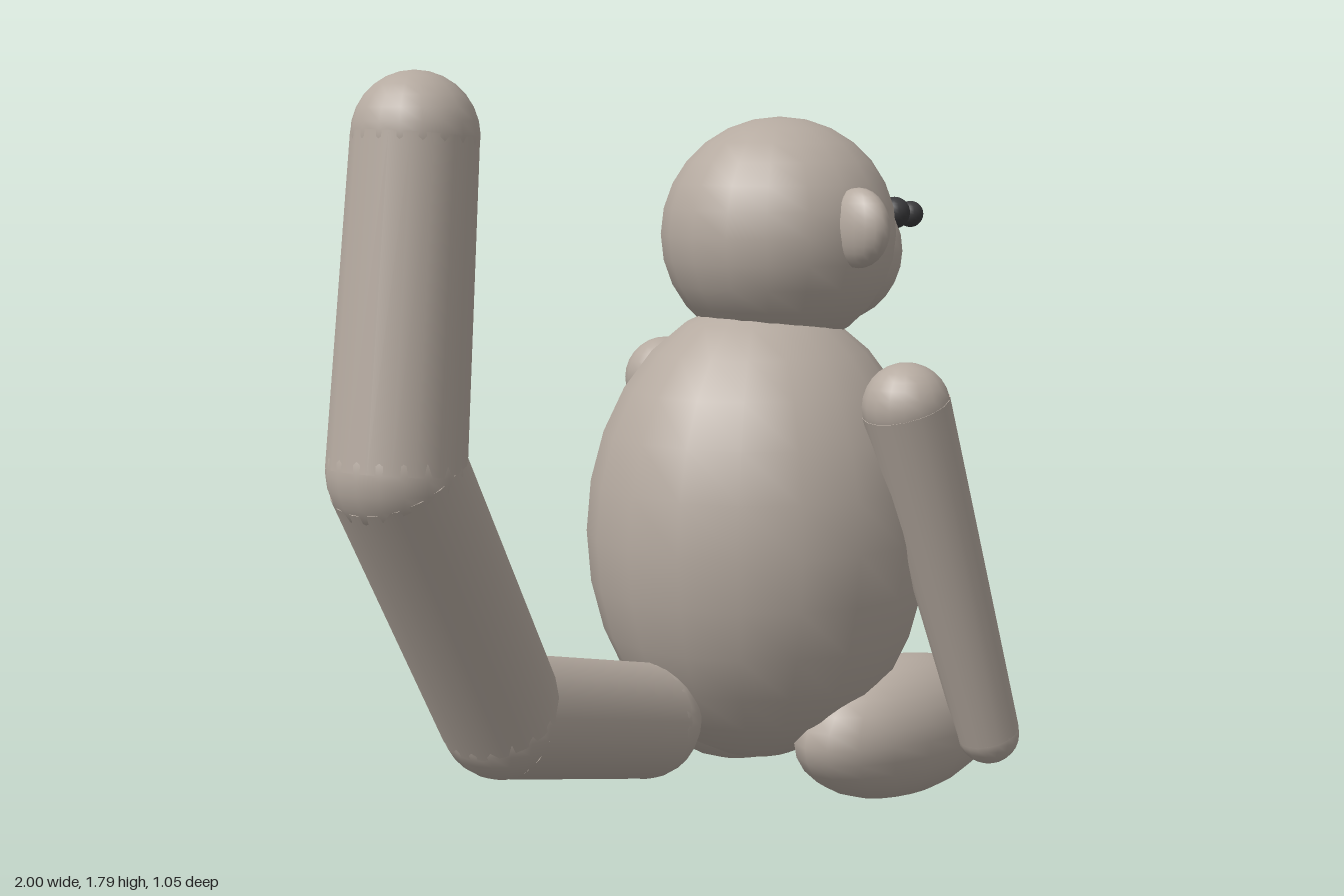
import * as THREE from 'three';

const V = (x, y, z) => new THREE.Vector3(x, y, z);

export function createModel() {
  const model = new THREE.Group();
  model.name = 'monkey';
  const fur = new THREE.MeshStandardMaterial({ name: 'warm grey fur', color: 0xb5aaa0 });
  const dark = new THREE.MeshStandardMaterial({ name: 'dark eye', color: 0x3a3a3c });

  const add = (name, geometry, material) => {
    const mesh = new THREE.Mesh(geometry, material);
    mesh.name = name;
    model.add(mesh);
    return mesh;
  };

  // Ellipsoid with given centre and radii
  const ball = (name, centre, rx, ry = rx, rz = rx, material = fur) => {
    const mesh = add(name, new THREE.SphereGeometry(1, 18, 14), material);
    mesh.position.copy(centre);
    mesh.scale.set(rx, ry, rz);
    return mesh;
  };

  // Tapered tube from a to b
  const limb = (name, a, b, ra, rb) => {
    const dir = b.clone().sub(a);
    const mesh = add(name, new THREE.CylinderGeometry(rb, ra, dir.length(), 18), fur);
    mesh.position.copy(a).add(b).multiplyScalar(0.5);
    mesh.quaternion.setFromUnitVectors(V(0, 1, 0), dir.normalize());
    return mesh;
  };

  // Torso, head and muzzle (the figure faces +x)
  ball('body', V(0.415, 0.68, 0), 0.435, 0.572, 0.42);
  ball('head', V(0.475, 1.41, 0), 0.292, 0.285, 0.288);
  ball('muzzle', V(0.665, 1.36, 0), 0.178);

  // Paired parts
  for (const s of [1, -1]) {
    const side = s > 0 ? 'Near' : 'Far';
    ball('ear' + side, V(0.455, 1.435, s * 0.285), 0.052, 0.095, 0.09);
    ball('eye' + side, V(0.79, 1.455, s * 0.095), 0.04, 0.04, 0.04, dark);
    ball('pupil' + side, V(0.853, 1.45, s * 0.093), 0.033, 0.033, 0.033, dark);

    const shoulder = V(0.482, 1.02, s * 0.42);
    const hand = V(0.775, 0.185, s * 0.448);
    ball('shoulder' + side, shoulder, 0.105);
    limb('arm' + side, shoulder, hand, 0.106, 0.077);
    ball('hand' + side, hand, 0.077);

    ball('leg' + side, V(0.667, 0.183, s * 0.245), 0.333, 0.177, 0.165);
  }

  // Tail: jointed chain curling up behind
  const joints = [V(0.025, 0.26, 0.005), V(-0.51, 0.39, 0.135), V(-0.85, 0.98, 0.225), V(-0.78, 1.66, 0.21)];
  const radii = [0.14, 0.14, 0.146, 0.132];
  joints.forEach((p, i) => {
    ball('tailJoint' + (i + 1), p, radii[i]);
    if (i) limb('tailSegment' + i, joints[i - 1], p, radii[i - 1], radii[i]);
  });

  return model;
}
